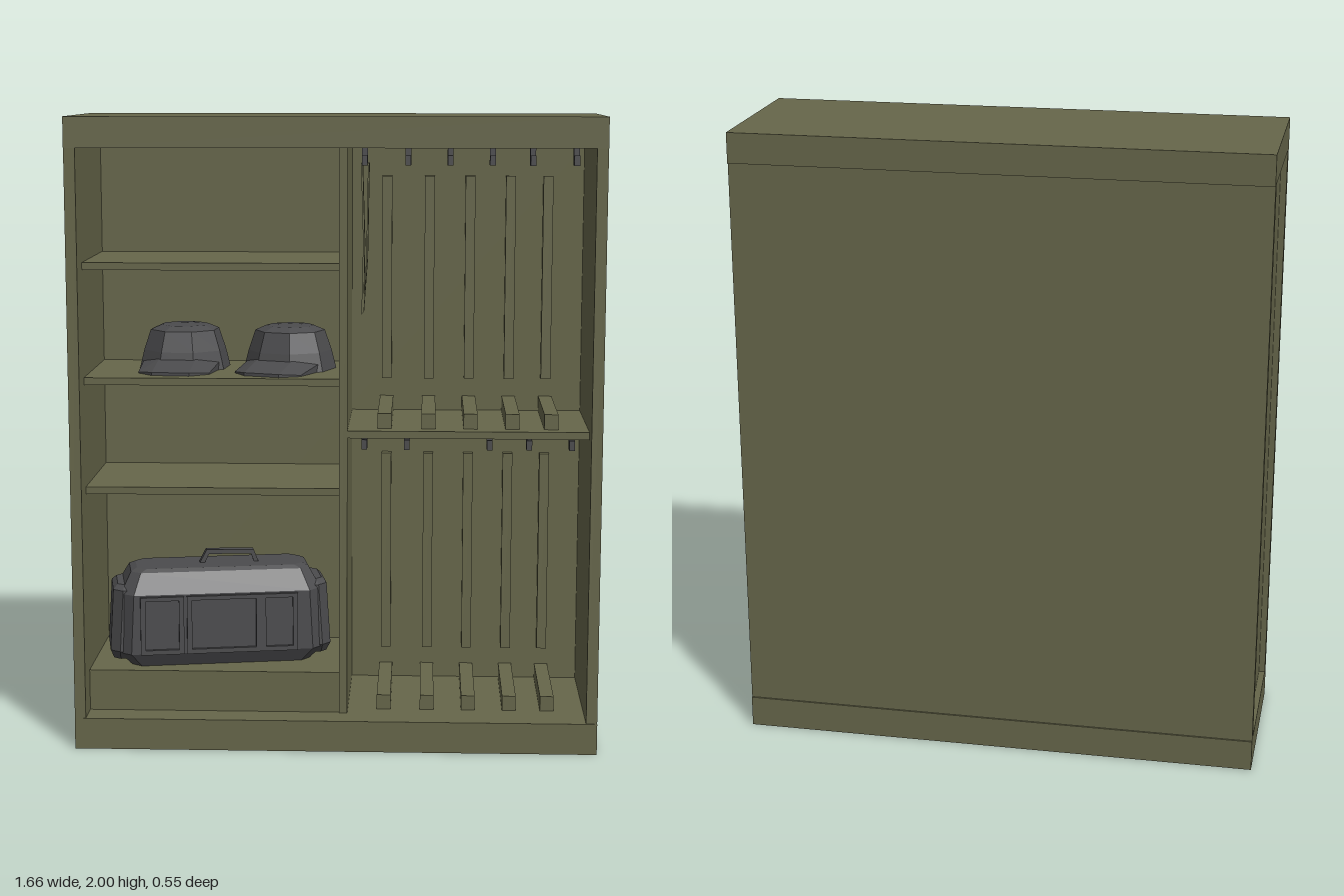
import * as THREE from 'three';
import { ConvexGeometry } from 'three/addons/geometries/ConvexGeometry.js';

const olive = new THREE.MeshStandardMaterial({ color: 0x66664a });
olive.name = 'olivePaint';
const grey = new THREE.MeshStandardMaterial({ color: 0x4b4b4d });
grey.name = 'darkGrey';

function add(parent, name, geometry, material) {
  const mesh = new THREE.Mesh(geometry, material);
  mesh.name = name;
  parent.add(mesh);
  return mesh;
}

// Box given by its lower and upper corners
function box(parent, name, [x0, y0, z0], [x1, y1, z1], material = olive) {
  const mesh = add(parent, name, new THREE.BoxGeometry(x1 - x0, y1 - y0, z1 - z0), material);
  mesh.position.set((x0 + x1) / 2, (y0 + y1) / 2, (z0 + z1) / 2);
  return mesh;
}

// Convex solid from stacked rectangles with cut corners: [y, halfX, halfZ, cut]
function stacked(levels) {
  const points = [];
  for (const [y, hx, hz, c] of levels)
    for (const sx of [-1, 1]) for (const sz of [-1, 1])
      points.push(new THREE.Vector3(sx * (hx - c), y, sz * hz), new THREE.Vector3(sx * hx, y, sz * (hz - c)));
  return new ConvexGeometry(points);
}

function polygon(points) {
  return points.map(([x, y]) => new THREE.Vector2(x, y));
}

// Flat outline with a hole, extruded and centred on z
function frame(outer, inner, depth) {
  const shape = new THREE.Shape(polygon(outer));
  if (inner) shape.holes.push(new THREE.Path(polygon(inner)));
  return new THREE.ExtrudeGeometry(shape, { depth, bevelEnabled: false }).translate(0, 0, -depth / 2);
}

function buildCabinet(root) {
  const cabinet = new THREE.Group();
  cabinet.name = 'cabinet';
  root.add(cabinet);
  box(cabinet, 'plinth', [-0.83, 0, -0.275], [0.83, 0.1, 0.278]);
  box(cabinet, 'topBlock', [-0.83, 1.905, -0.275], [0.83, 2, 0.278]);
  box(cabinet, 'backPanel', [-0.8, 0.1, -0.27], [0.8, 1.905, -0.25]);

  // Side walls: recessed panel between corner posts
  for (const s of [-1, 1]) {
    const a = s < 0 ? -0.81 : 0.795, b = s < 0 ? -0.795 : 0.81;
    box(cabinet, 'sidePanel', [a, 0.1, -0.25], [b, 1.905, 0.25]);
    const p = s < 0 ? -0.83 : 0.795, q = s < 0 ? -0.795 : 0.83;
    box(cabinet, 'frontPost', [p, 0.1, 0.238], [q, 1.905, 0.275]);
    box(cabinet, 'backPost', [p, 0.1, -0.27], [q, 1.905, -0.235]);
  }

  // Divider and shelves
  box(cabinet, 'divider', [0.01, 0.1, -0.25], [0.036, 1.905, 0.19]);
  for (const y of [0.81, 1.16, 1.523])
    box(cabinet, 'leftShelf', [-0.795, y, -0.25], [0.01, y + 0.023, 0.18]);
  box(cabinet, 'leftBase', [-0.795, 0.1, -0.25], [0.01, 0.232, 0.18]);
  box(cabinet, 'rightShelf', [0.036, 0.997, -0.25], [0.795, 1.02, 0.19]);
}

function buildRack(root) {
  const rack = new THREE.Group();
  rack.name = 'rack';
  root.add(rack);

  // Back slats and the floor rails in front of them
  for (const floor of [0.1, 1.02])
    for (const x of [0.152, 0.291, 0.424, 0.556, 0.678]) {
      box(rack, 'slat', [x - 0.016, floor + 0.11, -0.25], [x + 0.016, floor + 0.778, -0.22]);
      box(rack, 'floorRail', [x - 0.022, floor, -0.25], [x + 0.022, floor + 0.048, 0.14]);
    }

  // Hanging hooks
  const hook = frame([[-0.012, 0], [0.012, 0], [0.012, -0.045], [0.03, -0.045], [0.03, -0.03],
    [0.042, -0.03], [0.042, -0.062], [-0.012, -0.062]], null, 0.018).rotateY(-Math.PI / 2);
  for (const [y, xs] of [
    [1.905, [0.085, 0.222, 0.355, 0.488, 0.615, 0.752]],
    [0.997, [0.085, 0.222, 0.488, 0.615, 0.752]]])
    for (const x of xs) add(rack, 'hook', hook, grey).position.set(x, y, 0);

  // Strap looped over the first hook
  add(rack, 'strap', frame(
    [[0.073, 1.85], [0.08, 1.6], [0.075, 1.37], [0.083, 1.38], [0.095, 1.55], [0.1, 1.85]],
    [[0.079, 1.844], [0.086, 1.6], [0.083, 1.42], [0.09, 1.55], [0.095, 1.844]], 0.04), olive).position.z = 0.015;
}

function buildCap(root, x, z, turn) {
  const cap = new THREE.Group();
  cap.name = 'cap';
  cap.position.set(x, 1.183, z);
  cap.rotation.y = turn;
  root.add(cap);

  // Eight-sided crown
  const profile = polygon([[0, 0], [0.15, 0], [0.135, 0.06], [0.113, 0.125], [0.078, 0.14], [0, 0.144]]);
  add(cap, 'crown', new THREE.LatheGeometry(profile, 8, Math.PI / 8).toNonIndexed(), grey);
  const crown = cap.children[0].geometry;
  crown.computeVertexNormals();

  // Sloping brim
  const points = [];
  for (const [px, py, pz] of [[0.125, 0.025, 0.06], [0.06, 0.04, 0.12], [0.115, 0.004, 0.18], [0.06, 0.01, 0.23],
    [0.125, 0, 0.06], [0.115, 0, 0.18], [0.06, 0, 0.23]])
    for (const s of [-1, 1]) points.push(new THREE.Vector3(s * px, py, pz));
  add(cap, 'brim', new ConvexGeometry(points), grey);
}

function buildCase(root) {
  const kit = new THREE.Group();
  kit.name = 'carryCase';
  kit.position.set(-0.395, 0.232, -0.025);
  kit.rotation.y = 0.18;
  root.add(kit);

  // Body with tapered base and chamfered lid
  add(kit, 'body', stacked([[0, 0.29, 0.11, 0.03], [0.045, 0.335, 0.135, 0.04],
    [0.24, 0.325, 0.135, 0.04], [0.305, 0.29, 0.095, 0.03], [0.315, 0.27, 0.08, 0.03]]), grey);

  // End bumpers
  for (const s of [-1, 1])
    add(kit, 'endBumper', stacked([[0.02, 0.04, 0.085, 0.02], [0.05, 0.052, 0.11, 0.03],
      [0.25, 0.04, 0.105, 0.03], [0.265, 0.025, 0.08, 0.02]]), grey).position.x = s * 0.308;

  // Raised frames around the front and back pockets
  for (const [x, w] of [[-0.195, 0.14], [0.005, 0.24], [0.185, 0.12]]) {
    const a = w / 2, b = a - 0.016;
    const pocket = frame([[-a, 0.045], [a, 0.045], [a, 0.235], [-a, 0.235]],
      [[-b, 0.06], [b, 0.06], [b, 0.222], [-b, 0.222]], 0.022);
    for (const s of [-1, 1]) add(kit, 'pocketFrame', pocket, grey).position.set(x, 0, s * 0.136);
  }

  // Carry handle
  add(kit, 'handle', frame(
    [[-0.065, 0.31], [-0.04, 0.358], [0.115, 0.354], [0.132, 0.31], [0.117, 0.31],
      [0.106, 0.34], [-0.032, 0.344], [-0.048, 0.31]], null, 0.028), grey);
}

export function createModel() {
  const root = new THREE.Group();
  root.name = 'storageLocker';
  buildCabinet(root);
  buildRack(root);
  buildCap(root, -0.505, -0.1, -0.1);
  buildCap(root, -0.16, -0.08, -0.35);
  buildCase(root);
  return root;
}
